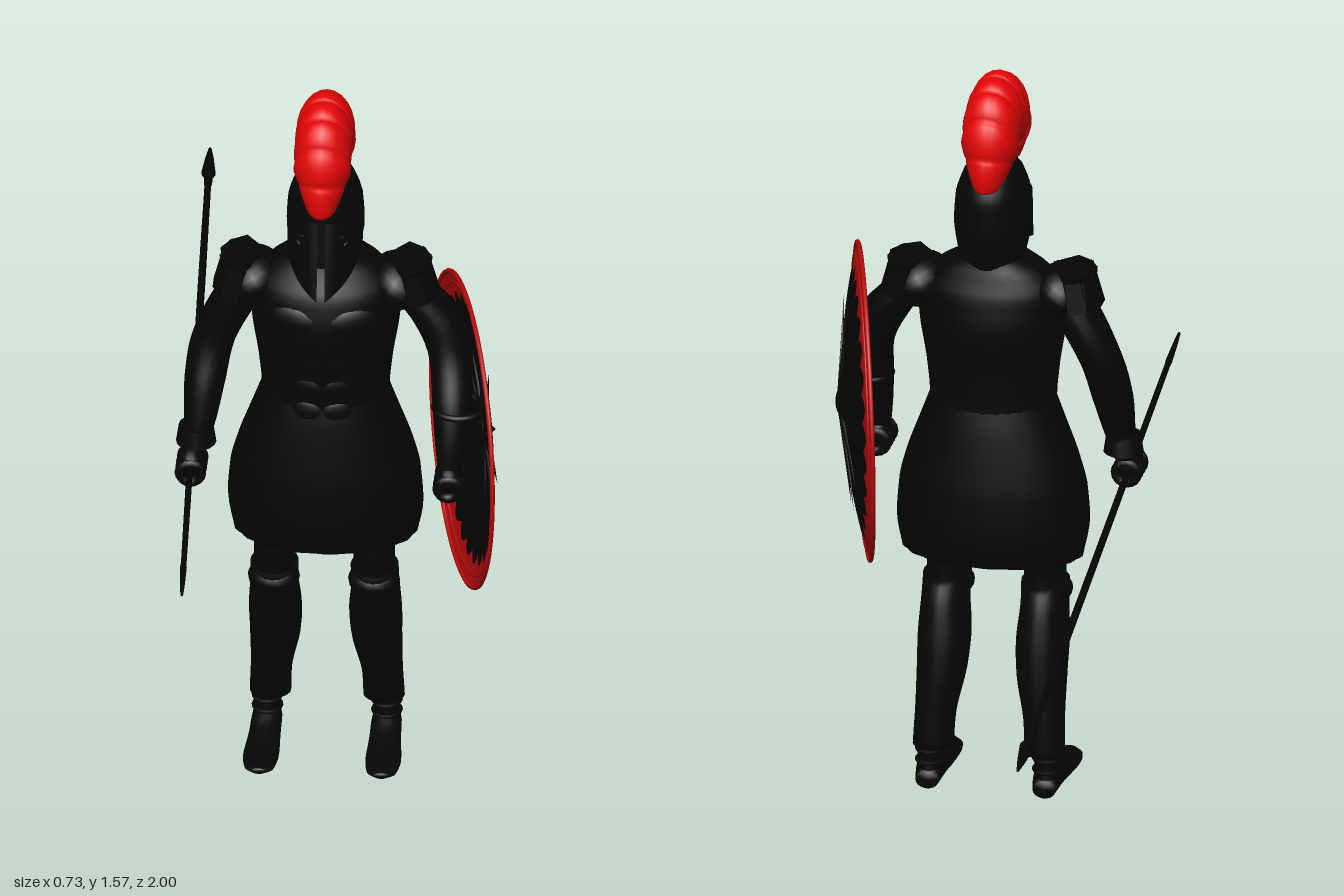
import * as THREE from 'three';

function flat(name, color) {
  const m = new THREE.MeshStandardMaterial({ color, side: THREE.DoubleSide });
  m.name = name;
  return m;
}
const black = flat('black armour', 0x050505);
const red = flat('crest red', 0xe60606);
const darkRed = flat('shield red', 0xb80a0c);

const CX = -0.015; // body centre line

function add(parent, name, geo, mat = black, pos = [0, 0, 0], rot = [0, 0, 0], scale = [1, 1, 1]) {
  const m = new THREE.Mesh(geo, mat);
  m.name = name;
  m.position.set(...pos);
  m.rotation.set(...rot);
  m.scale.set(...scale);
  parent.add(m);
  return m;
}

// Smooth surface from fn(u, v) -> [x, y, z]; wrap closes it around v
function grid(fn, nu, nv, wrap = false) {
  const p = [], idx = [], cols = wrap ? nv : nv + 1;
  for (let i = 0; i <= nu; i++) for (let j = 0; j < cols; j++) p.push(...fn(i / nu, j / nv));
  for (let i = 0; i < nu; i++) for (let j = 0; j < nv; j++) {
    const k = (j + 1) % cols;
    const a = i * cols + j, b = i * cols + k, c = a + cols, d = b + cols;
    idx.push(a, c, b, b, c, d);
  }
  const g = new THREE.BufferGeometry();
  g.setAttribute('position', new THREE.Float32BufferAttribute(p, 3));
  g.setIndex(idx);
  g.computeVertexNormals();
  return g;
}

// Closed body through oval sections [y, centre x, centre z, radius x, radius z], listed upwards
function loft(s, sides = 24, fold = () => 1) {
  const mid = new THREE.CatmullRomCurve3(s.map(q => new THREE.Vector3(q[1], q[0], q[2])));
  const rad = new THREE.CatmullRomCurve3(s.map(q => new THREE.Vector3(q[3], 0, q[4])));
  const n = (s.length - 1) * 4;
  return grid((u, v) => {
    const t = Math.min(1, Math.max(0, (u * (n + 2) - 1) / n));
    const c = mid.getPoint(t), r = rad.getPoint(t), a = v * Math.PI * 2;
    const k = u === 0 || u === 1 ? 0 : fold(a, c.y); // collapsed end rings form the caps
    return [c.x + r.x * k * Math.cos(a), c.y, c.z + r.z * k * Math.sin(a)];
  }, n + 2, sides, true);
}

function addHead(root) {
  const head = new THREE.Group();
  head.name = 'helmetedHead';
  root.add(head);
  add(head, 'helmet', loft([[1.14, CX, 0.315, 0.06, 0.068], [1.2, CX, 0.32, 0.07, 0.078], [1.27, CX, 0.328, 0.081, 0.093],
    [1.33, CX, 0.33, 0.077, 0.094], [1.375, CX, 0.332, 0.061, 0.08], [1.402, CX, 0.332, 0.038, 0.05], [1.413, CX, 0.332, 0.01, 0.014]], 32));
  // face plates wrap round from the temples and sweep forward to a point
  for (const s of [-1, 1]) add(head, 'cheekGuard', grid((u, v) => {
    const a = v * 1.57;
    return [CX + s * (0.008 + 0.07 * Math.sin(a)), 1.32 + u * (-0.17 + 0.08 * v),
      0.437 + 0.035 * u * (1 - v) - 0.1 * (1 - Math.cos(a))];
  }, 8, 12));
  add(head, 'noseGuard', new THREE.BoxGeometry(0.016, 0.14, 0.01), black, [CX, 1.29, 0.438], [-0.1, 0, 0]);
  for (const s of [-1, 1])
    add(head, 'eyeRim', new THREE.TorusGeometry(0.02, 0.004, 6, 16), black, [CX + s * 0.034, 1.275, 0.431], [0, s * 0.4, 0], [1, 0.6, 1]);
  // plume: a ridged fan from brow to nape, tapering at both ends
  add(root, 'helmetCrest', grid((u, v) => {
    const t = -0.17 + u * (Math.PI + 0.34), f = v * Math.PI * 2;
    const ridge = Math.sqrt(Math.abs(Math.sin(u * Math.PI * 8)));
    const k = u === 0 || u === 1 ? 0 : 1;
    const taper = 0.55 + 0.45 * Math.min(1, Math.sin(Math.PI * u) * 1.7);
    const boxy = 1 + 0.07 * Math.sin(2 * t) ** 2;
    const r = (0.55 + 0.45 * Math.cos(f) * k) * (0.95 + 0.05 * ridge) * boxy;
    return [CX + k * taper * 0.06 * (0.96 + 0.04 * ridge) * Math.sin(f), 1.382 + 0.195 * r * Math.sin(t), 0.357 + 0.128 * r * Math.cos(t)];
  }, 96, 24, true), red);
}

function addBody(root) {
  add(root, 'cuirass', loft([[0.74, CX, 0.33, 0.165, 0.112], [0.8, CX, 0.33, 0.15, 0.106], [0.87, CX, 0.33, 0.133, 0.1],
    [0.95, CX, 0.33, 0.14, 0.103], [1.05, CX, 0.328, 0.155, 0.11], [1.12, CX, 0.325, 0.155, 0.1],
    [1.17, CX, 0.32, 0.115, 0.08], [1.2, CX, 0.318, 0.06, 0.07]], 32));
  add(root, 'skirt', loft([[0.525, CX, 0.33, 0.19, 0.12], [0.6, CX, 0.33, 0.203, 0.126], [0.68, CX, 0.33, 0.197, 0.124],
    [0.75, CX, 0.33, 0.178, 0.117], [0.82, CX, 0.33, 0.152, 0.108], [0.88, CX, 0.33, 0.13, 0.097]], 72,
    (a, y) => 1 + 0.012 * Math.sin(a * 18) * Math.max(0, (0.72 - y) / 0.2)));
  for (const s of [-1, 1]) {
    add(root, 'chestMuscle', new THREE.SphereGeometry(1, 20, 14), black, [CX + s * 0.062, 1.06, 0.405], [0, s * 0.3, 0], [0.065, 0.05, 0.026]);
    for (const y of [0.97, 0.91, 0.85])
      add(root, 'abdomenMuscle', new THREE.SphereGeometry(1, 14, 10), black, [CX + s * 0.032, y, 0.42], [0, s * 0.2, 0], [0.036, 0.034, 0.012]);
  }
}

function addShoulder(root, s) {
  const g = new THREE.Group();
  g.name = 'shoulderArmour';
  g.position.set(CX + s * 0.15, 1.12, 0.32);
  root.add(g);
  add(g, 'shoulderCap', new THREE.SphereGeometry(1, 20, 14), black, [0, 0, 0], [0, 0, -s * 0.5], [0.062, 0.055, 0.078]);
  // flaps fan out over the upper arm
  for (let i = -2; i <= 2; i++) {
    const flap = new THREE.Group();
    flap.name = 'shoulderFlap';
    flap.rotation.y = (s > 0 ? 0 : Math.PI) + i * 0.5;
    add(flap, 'flapPlate', new THREE.BoxGeometry(0.075, 0.012, 0.044), black, [0.03, 0.05, 0], [0, 0, -0.1]);
    add(flap, 'flapEnd', new THREE.BoxGeometry(0.012, 0.075, 0.042), black, [0.068, 0.012, 0], [0, 0, 0.28]);
    g.add(flap);
  }
}

function addHand(root, x, y, z) {
  const hand = new THREE.Group();
  hand.name = 'hand';
  hand.position.set(x, y, z);
  root.add(hand);
  add(hand, 'palm', new THREE.SphereGeometry(1, 14, 10), black, [0, 0.005, 0], [0, 0, 0], [0.028, 0.034, 0.044]);
  for (let i = 0; i < 4; i++)
    add(hand, 'finger', new THREE.TorusGeometry(0.022, 0.011, 8, 16), black, [0, -0.008, -0.033 + i * 0.022]);
}

function addArms(root) {
  add(root, 'rightArm', loft([[0.73, -0.282, 0.385, 0.024, 0.028], [0.8, -0.272, 0.37, 0.034, 0.036], [0.88, -0.264, 0.345, 0.043, 0.046],
    [0.96, -0.25, 0.32, 0.046, 0.048], [1.04, -0.215, 0.315, 0.05, 0.054], [1.13, -0.165, 0.32, 0.052, 0.056]]));
  add(root, 'rightCuff', new THREE.CylinderGeometry(0.036, 0.042, 0.04, 16), black, [-0.28, 0.765, 0.378]);
  addHand(root, -0.288, 0.708, 0.4);
  add(root, 'leftArm', loft([[0.73, 0.25, 0.435, 0.024, 0.028], [0.8, 0.252, 0.42, 0.034, 0.035], [0.88, 0.252, 0.39, 0.042, 0.044],
    [0.97, 0.242, 0.345, 0.044, 0.048], [1.05, 0.21, 0.325, 0.054, 0.055], [1.13, 0.135, 0.32, 0.052, 0.056]]));
  addHand(root, 0.25, 0.715, 0.435);
  for (const s of [-1, 1]) addShoulder(root, s);
}

function addLeg(root, s) {
  const leg = new THREE.Group();
  leg.name = s > 0 ? 'leftLeg' : 'rightLeg';
  root.add(leg);
  const x = d => CX + s * d; // distance out from the centre line
  add(leg, 'thigh', loft([[0.38, x(0.103), 0.35, 0.044, 0.055], [0.48, x(0.103), 0.36, 0.043, 0.058], [0.6, x(0.095), 0.345, 0.06, 0.07]]));
  add(leg, 'greave', loft([[0.09, x(0.118), 0.285, 0.043, 0.036], [0.16, x(0.115), 0.295, 0.043, 0.044], [0.25, x(0.106), 0.315, 0.052, 0.06],
    [0.33, x(0.104), 0.333, 0.055, 0.068], [0.4, x(0.105), 0.348, 0.05, 0.068], [0.45, x(0.104), 0.36, 0.05, 0.062]]));
  add(leg, 'kneeCap', new THREE.SphereGeometry(1, 18, 12), black, [x(0.104), 0.425, 0.375], [0, 0, 0], [0.054, 0.035, 0.05]);
  add(leg, 'ankle', loft([[0.02, x(0.124), 0.288, 0.028, 0.038], [0.06, x(0.124), 0.288, 0.027, 0.033], [0.12, x(0.122), 0.285, 0.03, 0.032]]));
  // shoe sections run from heel to toe
  const shoe = loft([[0.25, x(0.124), -0.02, 0.024, 0.018], [0.29, x(0.124), -0.032, 0.031, 0.03], [0.35, x(0.125), -0.022, 0.033, 0.02],
    [0.43, x(0.127), -0.015, 0.037, 0.012], [0.475, x(0.127), -0.014, 0.03, 0.01], [0.492, x(0.127), -0.016, 0.014, 0.006]], 18);
  shoe.rotateX(Math.PI / 2);
  add(leg, 'shoe', shoe);
  for (const y of [0.055, 0.08])
    add(leg, 'ankleStrap', new THREE.TorusGeometry(0.029, 0.004, 6, 18), black, [x(0.124), y, 0.288], [Math.PI / 2, 0, 0], [1, 1.15, 1]);
}

function addShield(root) {
  const R = 0.325, TAU = Math.PI * 2;
  const shield = new THREE.Group();
  shield.name = 'shield';
  shield.position.set(0.272, 0.803, 0.385);
  shield.rotation.set(0, 0.273, -0.02);
  shield.scale.y = 1.02;
  root.add(shield);
  const dome = r => 0.045 * (1 - (r / R) ** 2);
  const tooth = a => 0.26 + 0.022 * Math.abs(Math.sin(a * 14));
  const disc = (inner, outer, stacks) => grid((u, v) => {
    const a = v * TAU, r = inner(a) + (outer(a) - inner(a)) * u;
    return [dome(r), r * Math.cos(a), r * Math.sin(a)];
  }, stacks, 224, true);
  add(shield, 'shieldFace', disc(() => 0.001, tooth, 12));
  add(shield, 'shieldBorder', disc(tooth, () => R, 4), darkRed);
  for (const [r, w] of [[R, 0.005], [0.302, 0.003]])
    add(shield, 'shieldRing', new THREE.TorusGeometry(r, w, 8, 96), darkRed, [dome(r), 0, 0], [0, Math.PI / 2, 0]);
  // raised star and boss
  add(shield, 'shieldBoss', new THREE.SphereGeometry(1, 20, 12), black, [dome(0), 0, 0], [0, 0, 0], [0.014, 0.03, 0.03]);
  for (let i = 0; i < 12; i++) {
    const ray = new THREE.ConeGeometry(0.018, 0.2, 6);
    ray.scale(0.4, 1, 1);
    ray.translate(0, 0.125, 0);
    ray.rotateZ(0.08); // lean back along the dome
    ray.rotateX((i / 12) * TAU);
    add(shield, 'shieldRay', ray, black, [dome(0) + 0.004, 0, 0]);
  }
  add(shield, 'armBand', new THREE.TorusGeometry(0.05, 0.007, 8, 24), black, [-0.01, 0.06, 0.01], [Math.PI / 2, 0, 0]);
  add(shield, 'handGrip', new THREE.CylinderGeometry(0.008, 0.008, 0.12, 10), black, [-0.01, -0.09, 0.06], [Math.PI / 2, 0, 0]);
}

function addSpear(root) {
  const butt = new THREE.Vector3(-0.262, 0.75, 1), tip = new THREE.Vector3(-0.358, 0.605, -1);
  const dir = tip.clone().sub(butt), len = dir.length();
  const spear = new THREE.Group();
  spear.name = 'spear';
  spear.position.copy(butt);
  spear.quaternion.setFromUnitVectors(new THREE.Vector3(0, 1, 0), dir.normalize());
  root.add(spear);
  // butt spike, shaft, collar and blade turned as one profile
  const profile = [[0, 0], [0.003, 0.005], [0.005, 0.05], [0.007, 0.13], [0.006, 0.15], [0.007, 0.6], [0.008, 1.4], [0.007, len - 0.17],
    [0.009, len - 0.16], [0.009, len - 0.14], [0.006, len - 0.13], [0.015, len - 0.115], [0.009, len - 0.05], [0.003, len - 0.005], [0, len]];
  add(spear, 'spearShaft', new THREE.LatheGeometry(profile.map(p => new THREE.Vector2(...p)), 10));
}

export function createModel() {
  const root = new THREE.Group();
  root.name = 'armouredSpearman';
  addHead(root);
  addBody(root);
  addArms(root);
  for (const s of [-1, 1]) addLeg(root, s);
  addShield(root);
  addSpear(root);
  return root;
}
